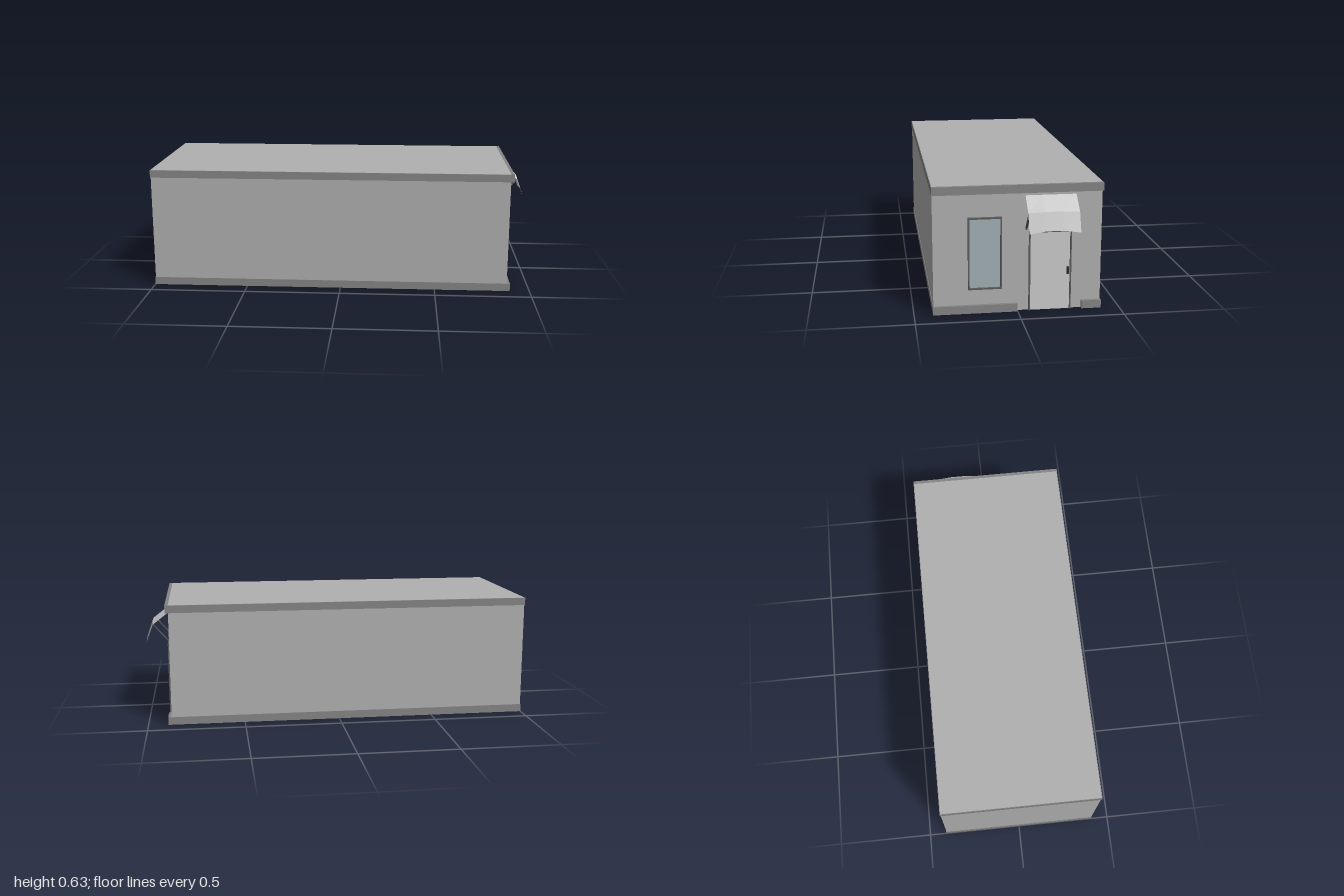
import * as THREE from 'three';

const material = (color, extra = {}) => new THREE.MeshStandardMaterial({ color, ...extra });
const wallMat = material(0xb0b0b0);
const trimMat = material(0x858585);
const darkMat = material(0x5c5c5c);
const doorMat = material(0xcccccc);
const handleMat = material(0x303030);
const glassMat = material(0xa2b0b4);
const awningMat = material(0xcccccc, { flatShading: true, side: THREE.DoubleSide });

export function createModel() {
  const model = new THREE.Group();

  // Box given by its two extreme corners
  function box(name, mat, [x0, y0, z0], [x1, y1, z1], parent = model) {
    const mesh = new THREE.Mesh(new THREE.BoxGeometry(x1 - x0, y1 - y0, z1 - z0), mat);
    mesh.position.set((x0 + x1) / 2, (y0 + y1) / 2, (z0 + z1) / 2);
    mesh.name = name;
    parent.add(mesh);
    return mesh;
  }

  // Rectangular ring standing on the end wall, open at the bottom for a door
  function frame(name, z0, z1, y0, y1, depth, open) {
    const w = 0.007;
    const s = new THREE.Shape();
    if (open) {
      [[z0, y0], [z0 + w, y0], [z0 + w, y1 - w], [z1 - w, y1 - w], [z1 - w, y0], [z1, y0], [z1, y1], [z0, y1]]
        .forEach(([z, y], i) => (i ? s.lineTo(-z, y) : s.moveTo(-z, y)));
    } else {
      s.moveTo(-z0, y0).lineTo(-z1, y0).lineTo(-z1, y1).lineTo(-z0, y1);
      const h = new THREE.Path();
      h.moveTo(-z0 - w, y0 + w).lineTo(-z0 - w, y1 - w).lineTo(-z1 + w, y1 - w).lineTo(-z1 + w, y0 + w);
      s.holes.push(h);
    }
    const mesh = new THREE.Mesh(new THREE.ExtrudeGeometry(s, { depth, bevelEnabled: false }), darkMat);
    mesh.rotation.y = Math.PI / 2;
    mesh.position.x = 0.88;
    mesh.name = name;
    model.add(mesh);
  }

  // Container body
  box('body', wallMat, [-0.997, 0.001, -0.407], [0.88, 0.628, 0.407]);

  // Trim bands along the two long sides and the rear end
  for (const [level, y0, y1] of [['lower', 0, 0.04], ['upper', 0.588, 0.627]]) {
    box(level + 'LeftTrim', trimMat, [-1, y0, 0.405], [0.88, y1, 0.41]);
    box(level + 'RightTrim', trimMat, [-1, y0, -0.41], [0.88, y1, -0.405]);
    box(level + 'RearTrim', trimMat, [-1, y0, -0.405], [-0.995, y1, 0.405]);
  }

  // Thicker trim on the entrance end, interrupted at the door
  box('upperEntranceTrim', trimMat, [0.88, 0.588, -0.41], [0.897, 0.628, 0.41]);
  box('lowerEntranceTrimWide', trimMat, [0.88, 0, 0.002], [0.897, 0.04, 0.41]);
  box('lowerEntranceTrimNarrow', trimMat, [0.88, 0, -0.41], [0.897, 0.04, -0.313]);

  // Window
  frame('windowFrame', 0.078, 0.24, 0.119, 0.474, 0.016, false);
  box('windowGlass', glassMat, [0.878, 0.125, 0.084], [0.884, 0.468, 0.234]);

  // Door
  frame('doorFrame', -0.26, -0.053, 0, 0.399, 0.013, true);
  box('door', doorMat, [0.878, 0.001, -0.254], [0.885, 0.393, -0.059]);

  // Door handle: rounded plate with a grip
  const handle = new THREE.Group();
  handle.name = 'doorHandle';
  const plate = new THREE.Mesh(new THREE.CapsuleGeometry(0.006, 0.03, 6, 12), handleMat);
  plate.scale.x = 0.5;
  plate.position.set(0.886, 0.196, -0.244);
  plate.name = 'handlePlate';
  const gripPath = new THREE.CatmullRomCurve3([[0.886, 0.178], [0.895, 0.185], [0.897, 0.196], [0.895, 0.207], [0.886, 0.214]]
    .map(([x, y]) => new THREE.Vector3(x, y, -0.244)));
  const grip = new THREE.Mesh(new THREE.TubeGeometry(gripPath, 16, 0.0025, 8), handleMat);
  grip.name = 'handleGrip';
  handle.add(plate, grip);
  model.add(handle);

  // Folded awning, slightly arched across its width
  const awning = new THREE.Group();
  awning.name = 'awning';
  const stations = [[-0.035, 0], [-0.115, 1], [-0.2, 1], [-0.28, 0]];
  const points = [], faces = [];
  stations.forEach(([z, arch], i) => {
    points.push(0.879, 0.574, z, 0.964 + 0.006 * arch, 0.508 + 0.005 * arch, z, 1, 0.416 + 0.012 * arch, z);
    if (i < 3) {
      for (let j = 0; j < 2; j++) {
        const a = i * 3 + j;
        faces.push(a, a + 1, a + 3, a + 1, a + 4, a + 3);
      }
    }
  });
  const canopyGeo = new THREE.BufferGeometry();
  canopyGeo.setAttribute('position', new THREE.Float32BufferAttribute(points, 3));
  canopyGeo.setIndex(faces);
  canopyGeo.computeVertexNormals();
  const canopy = new THREE.Mesh(canopyGeo, awningMat);
  canopy.name = 'awningCanopy';
  awning.add(canopy);

  // Diagonal struts and wall feet under the awning
  for (const z of [-0.041, -0.268]) {
    const dx = 0.963 - 0.882, dy = 0.505 - 0.412;
    const strut = box('awningStrut', darkMat, [-0.0025, -Math.hypot(dx, dy) / 2, -0.005], [0.0025, Math.hypot(dx, dy) / 2, 0.005], awning);
    strut.position.set(0.882 + dx / 2, 0.412 + dy / 2, z);
    strut.rotation.z = -Math.atan2(dx, dy);
    box('awningFoot', darkMat, [0.879, 0.405, z - 0.005], [0.886, 0.422, z + 0.005], awning);
  }
  model.add(awning);

  return model;
}
